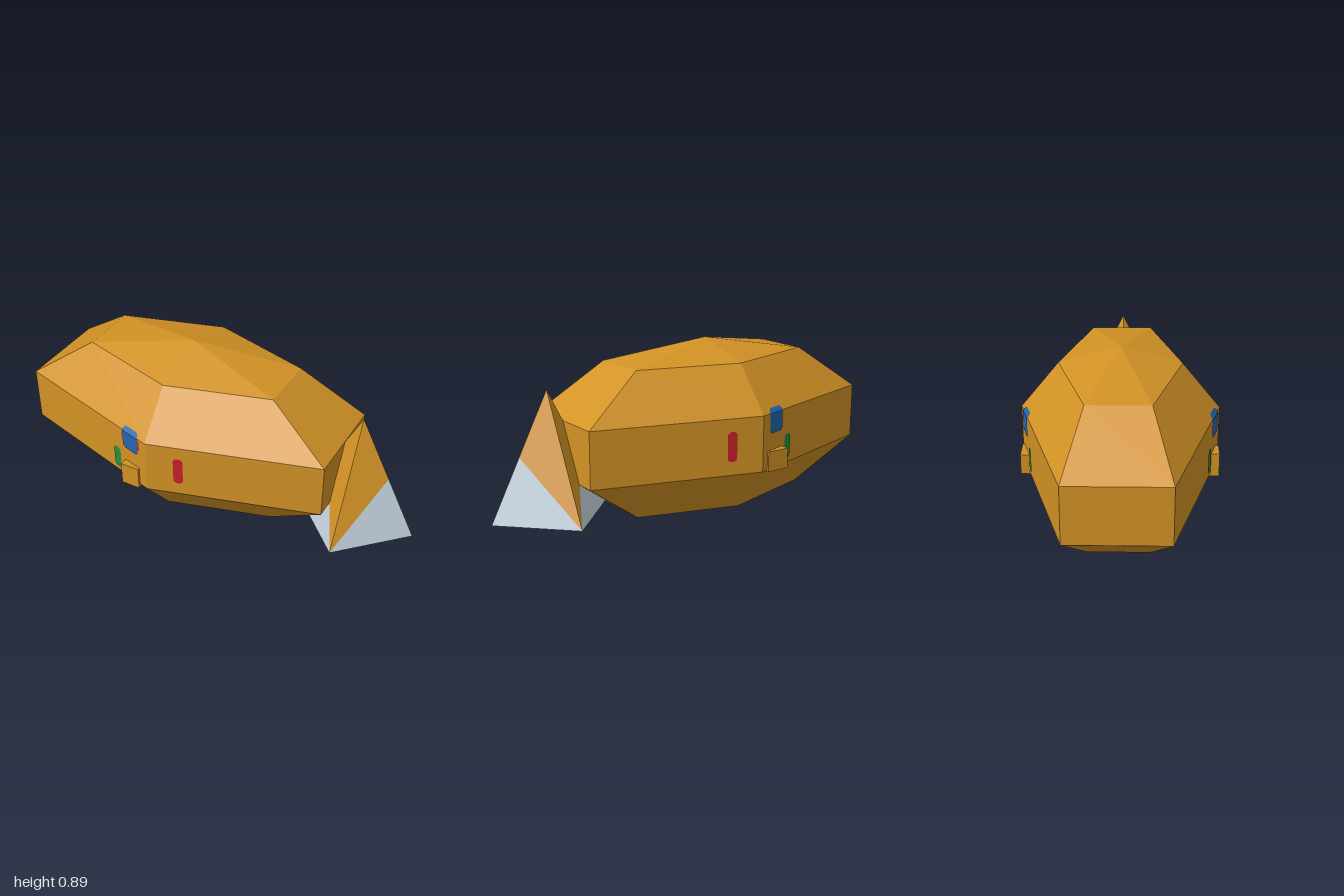
import * as THREE from 'three';

const mat = (name, color, side = THREE.FrontSide) => {
  const m = new THREE.MeshStandardMaterial({ color, side, flatShading: true });
  m.name = name;
  return m;
};

export function createModel() {
  const orange = mat('orange', 0xd29225);
  const grey = mat('pale grey', 0xc0ceda);
  const blue = mat('blue', 0x2366b0, THREE.DoubleSide);
  const red = mat('red', 0xca1f29, THREE.DoubleSide);
  const green = mat('green', 0x209040, THREE.DoubleSide);

  const model = new THREE.Group();
  const add = (name, geometry, material) => {
    const mesh = new THREE.Mesh(geometry, material);
    mesh.name = name;
    model.add(mesh);
    return mesh;
  };

  // Faceted body: a stretched six-sided sphere with corners on the z axis
  const body = new THREE.SphereGeometry(1, 6, 5, Math.PI / 6);
  body.scale(0.983, 0.445, 0.494);
  add('body', body, orange).position.set(-0.19, 0.445, 0);

  // Tail pyramid: each side is split from the middle of its x edge to the z corner
  const apex = [0.7, 0.74, 0];
  const upper = [], lower = [];
  const tri = (list, a, b, c, flip) => list.push(...a, ...(flip ? c : b), ...(flip ? b : c));
  for (const sx of [1, -1]) for (const sz of [1, -1]) {
    const end = [0.7 + 0.3 * sx, 0.15, 0];
    const mid = [0.7 + 0.15 * sx, 0.445, 0];
    const corner = [0.7, 0.15, 0.295 * sz];
    const flip = sx * sz < 0;
    tri(upper, apex, corner, mid, flip);
    tri(lower, mid, corner, end, flip);
    tri(lower, [0.7, 0.15, 0], end, corner, flip);
  }
  const fromTriangles = (list) => {
    const g = new THREE.BufferGeometry();
    g.setAttribute('position', new THREE.Float32BufferAttribute(list, 3));
    g.computeVertexNormals();
    return g;
  };
  add('tailUpper', fromTriangles(upper), orange);
  add('tailLower', fromTriangles(lower), grey);

  // Painted patch with chamfered corners, laid on the body's side facets
  const fold = 0.583;
  const surface = (x, y) => 0.47 - 0.29 * Math.abs(x + 0.19) - 0.81 * Math.max(0, y - fold);
  const patch = (name, x0, x1, y0, y1, side, material, lift = 0.004, c = 0.012) => {
    const outline = [
      [x0 + c, y0], [x1 - c, y0], [x1, y0 + c], [x1, y1 - c],
      [x1 - c, y1], [x0 + c, y1], [x0, y1 - c], [x0, y0 + c],
    ];
    // Cut the outline at the fold so that each piece stays flat
    for (const sign of [-1, 1]) {
      const pts = [];
      outline.forEach(([ax, ay], i) => {
        const [bx, by] = outline[(i + 1) % outline.length];
        if ((ay - fold) * sign >= 0) pts.push(new THREE.Vector2(ax, ay));
        if ((ay - fold) * (by - fold) < 0) {
          pts.push(new THREE.Vector2(ax + (bx - ax) * (fold - ay) / (by - ay), fold));
        }
      });
      if (pts.length < 3) continue;
      const g = new THREE.ShapeGeometry(new THREE.Shape(pts));
      const p = g.attributes.position;
      for (let i = 0; i < p.count; i++) {
        p.setZ(i, side * (surface(p.getX(i), p.getY(i)) + lift));
      }
      // Turn the corners round on the back so the patch faces outwards
      if (side < 0) g.setIndex(Array.from(g.index.array).reverse());
      g.computeVertexNormals();
      add(name, g, material);
    }
  };

  // Markings and nose block on both sides
  for (const side of [1, -1]) {
    patch('bluePatch', -0.34, -0.24, 0.485, 0.605, side, blue);
    patch('redPatch', -0.06, -0.015, 0.375, 0.52, side, red);
    patch('greenPatch', -0.41, -0.365, 0.335, 0.455, side, green);
    const width = side > 0 ? 0.096 : 0.12;
    const block = new THREE.BoxGeometry(width, side > 0 ? 0.115 : 0.1, 0.06);
    add('noseBlock', block, orange).position.set(-0.287, side > 0 ? 0.3475 : 0.35, side * 0.438);
  }
  patch('redRim', -0.348, -0.23, 0.495, 0.595, 1, red, 0.002, 0.025);

  return model;
}
